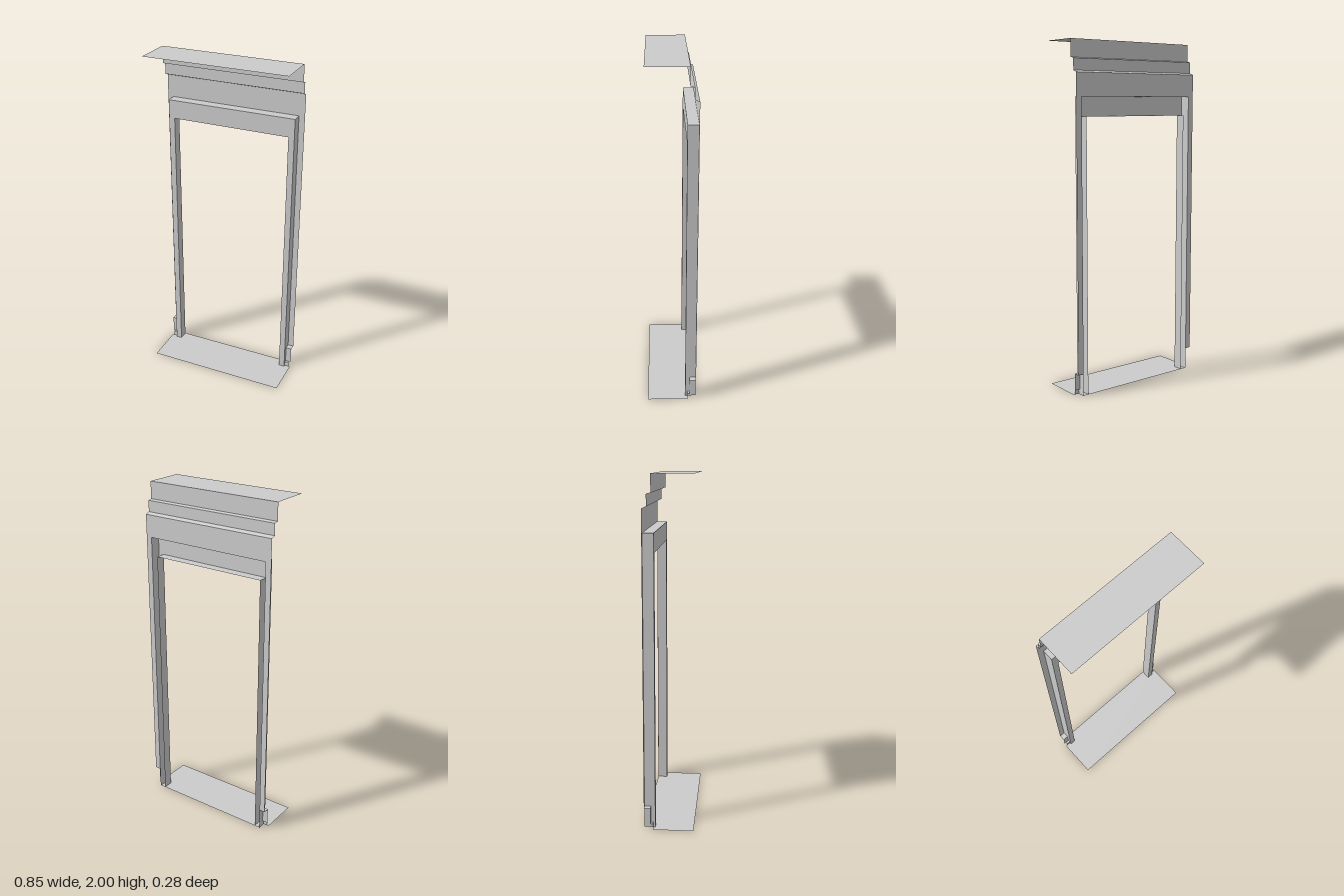
import * as THREE from 'three';

const material = new THREE.MeshStandardMaterial({ color: 0xcccccc, side: THREE.DoubleSide });

const HALF = 0.425;             // half width of the whole frame
const BACK = -0.142, FACE = -0.08, FRONT = 0.142;

// Thin sheet stretched between successive rows of points, with crisp folds
function loft(name, rows) {
  const positions = [];
  for (let i = 0; i < rows.length - 1; i++) {
    for (let j = 0; j < rows[i].length - 1; j++) {
      const a = rows[i][j], b = rows[i][j + 1], c = rows[i + 1][j + 1], d = rows[i + 1][j];
      positions.push(...a, ...b, ...c, ...a, ...c, ...d);
    }
  }
  const geometry = new THREE.BufferGeometry();
  geometry.setAttribute('position', new THREE.Float32BufferAttribute(positions, 3));
  geometry.computeVertexNormals();
  const mesh = new THREE.Mesh(geometry, material);
  mesh.name = name;
  return mesh;
}

// Folded sheet with a [y, z] profile, running from x0 to x1
function foldedSheet(name, profile, x0, x1) {
  return loft(name, profile.map(([y, z]) => [[x0, y, z], [x1, y, z]]));
}

// Path up one jamb, over the lintel and down the other; u = 0 inner edge, 1 outer edge
function doorPath(u, z) {
  const x = 0.355 + 0.035 * u, y = 1.58 + 0.11 * u;
  return [[-x, 0, z], [-x, y, z], [x, y, z], [x, 0, z]];
}

export function createModel() {
  const model = new THREE.Group();
  model.name = 'doorFrame';

  // Canopy and stepped header, one folded sheet
  model.add(foldedSheet('canopyAndHeader', [
    [2, FRONT], [2, -0.092], [1.9, -0.092], [1.895, -0.116],
    [1.83, -0.116], [1.82, BACK], [1.69, BACK],
  ], -HALF, HALF));

  // Open-backed channel around the doorway: reveal, face, outer wall
  model.add(loft('doorSurround', [
    doorPath(0, -0.138), doorPath(0, FACE), doorPath(1, FACE), doorPath(1, BACK),
  ]));

  // Floor plate and the threshold between the jambs
  model.add(foldedSheet('floorPlate', [[0, FRONT], [0, -0.092]], -HALF, HALF));
  model.add(foldedSheet('threshold', [[0, -0.092], [0, -0.138]], -0.39, 0.39));

  for (const side of [-1, 1]) {
    const prefix = side > 0 ? 'left' : 'right';
    // Rear flange beside the jamb, stepping forward into a foot
    model.add(foldedSheet(prefix + 'FlangeAndFoot', [
      [1.69, BACK], [0.13, BACK], [0.13, -0.105], [0.03, -0.105],
    ], side * 0.39, side * HALF));
    // Narrow toe below the foot
    model.add(foldedSheet(prefix + 'Toe', [
      [0.03, -0.105], [0.03, -0.092], [0, -0.092],
    ], side * 0.39, side * 0.415));
  }
  return model;
}
